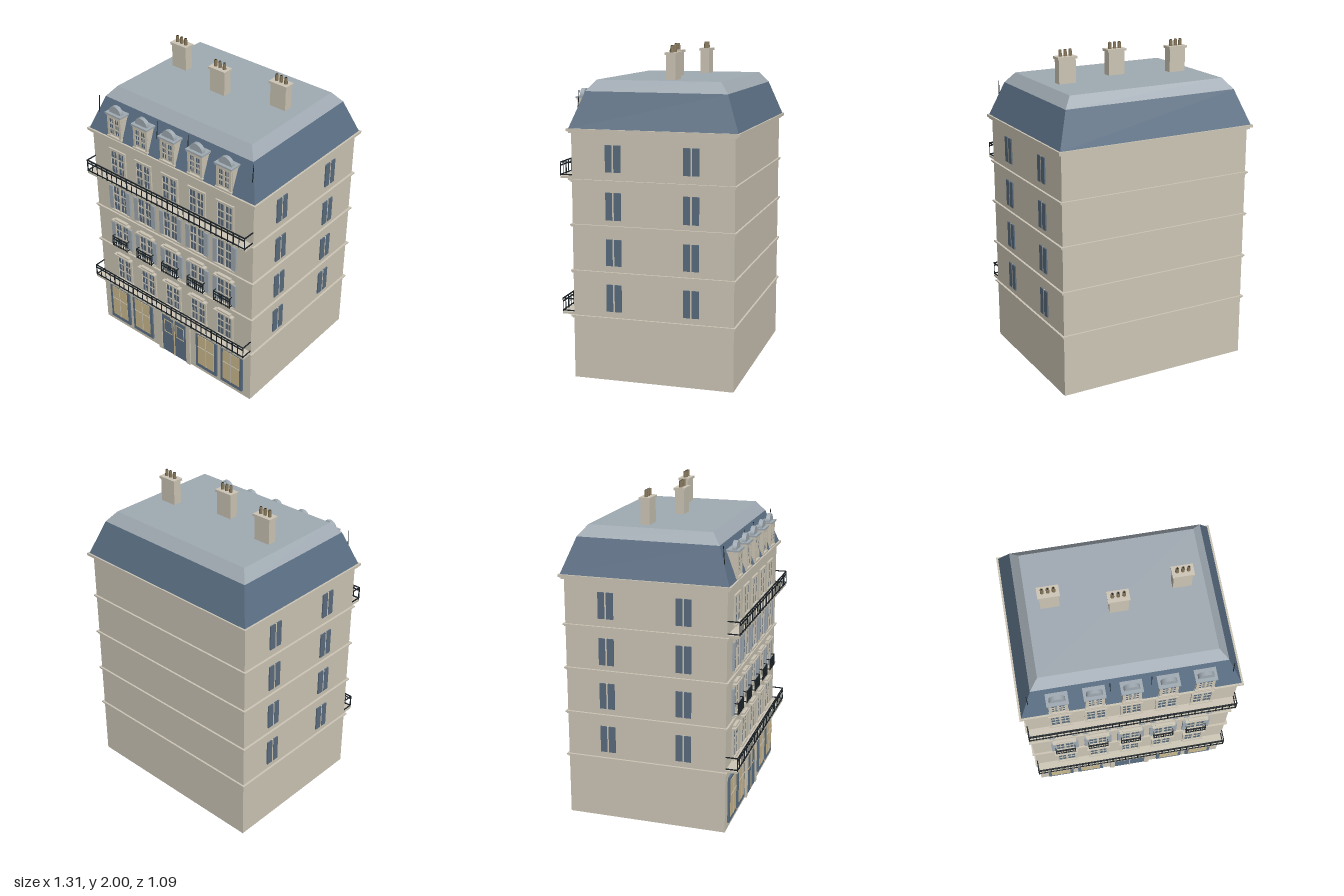
import * as THREE from 'three';

const mat = (name, color) => {
  const m = new THREE.MeshStandardMaterial({ color });
  m.name = name;
  return m;
};

export function createModel() {
  const stone = mat('stone', 0xcdc6b6);
  const slate = mat('slate blue', 0x5c7085);
  const zinc = mat('zinc grey', 0xa0aab2);
  const glass = mat('window glass', 0x5a6c7e);
  const iron = mat('black iron', 0x1b2226);
  const cream = mat('shop blind cream', 0xcbb98f);
  const clay = mat('chimney clay', 0x85765a);
  const root = new THREE.Group();
  root.name = 'townhouse';

  const group = (name, parent = root) => {
    const g = new THREE.Group();
    g.name = name;
    parent.add(g);
    return g;
  };
  const add = (parent, name, geo, m) => {
    const mesh = new THREE.Mesh(geo, m);
    mesh.name = name;
    parent.add(mesh);
    return mesh;
  };
  // Box given by its limits on each axis
  const box = (parent, name, m, x0, x1, y0, y1, z0, z1) => {
    const b = add(parent, name, new THREE.BoxGeometry(x1 - x0, y1 - y0, z1 - z0), m);
    b.position.set((x0 + x1) / 2, (y0 + y1) / 2, (z0 + z1) / 2);
    return b;
  };
  const F = 0.47, B = -0.52, W = 0.63; // front, back and half width of the walls
  const columns = [-0.425, -0.2125, 0, 0.2125, 0.425];

  // Walls, string courses and cornice
  box(root, 'walls', stone, -W, W, 0, 1.5, B, F);
  for (const y of [0.375, 0.655, 0.935, 1.205]) {
    box(root, 'stringCourse', stone, -W - 0.007, W + 0.007, y, y + 0.008, B - 0.007, F + 0.007);
    box(root, 'stringCourseLip', stone, -W - 0.014, W + 0.014, y + 0.008, y + 0.017, B - 0.012, F + 0.012);
  }
  box(root, 'corniceLower', stone, -0.645, 0.645, 1.494, 1.506, -0.535, 0.483);
  box(root, 'cornice', stone, -0.656, 0.656, 1.506, 1.522, -0.549, 0.494);

  // Mansard roof from rectangular rings: [half width, height, back, front]
  const rings = [[0.645, 1.52, -0.54, 0.483], [0.567, 1.735, -0.458, 0.402], [0.514, 1.8, -0.405, 0.35]];
  const corners = ([w, y, b, f]) => [[-w, y, f], [w, y, f], [w, y, b], [-w, y, b]];
  const quads = (list) => {
    const p = list.flatMap(([a, b, c, d]) => [a, b, c, a, c, d]).flat();
    const g = new THREE.BufferGeometry();
    g.setAttribute('position', new THREE.Float32BufferAttribute(p, 3));
    g.computeVertexNormals();
    return g;
  };
  const slope = (lo, hi) => {
    const a = corners(lo), b = corners(hi);
    return a.map((_, i) => [a[i], a[(i + 1) % 4], b[(i + 1) % 4], b[i]]);
  };
  add(root, 'slateRoof', quads(slope(rings[0], rings[1])), slate);
  add(root, 'zincRoof', quads([...slope(rings[1], rings[2]), corners(rings[2])]), zinc);

  // Casement: glass with a central post and glazing bars
  const casement = (g, x, hw, y0, y1, z) => {
    box(g, 'glass', glass, x - hw, x + hw, y0, y1, z - 0.01, z + 0.003);
    box(g, 'centrePost', stone, x - 0.007, x + 0.007, y0, y1, z, z + 0.008);
    for (const s of [-1, 1]) {
      const c = x + s * (hw + 0.007) / 2;
      box(g, 'glazingBar', stone, c - 0.002, c + 0.002, y0, y1, z, z + 0.005);
    }
    for (const t of [1 / 3, 2 / 3]) {
      const y = y0 + (y1 - y0) * t;
      box(g, 'crossBar', stone, x - hw, x + hw, y - 0.004, y + 0.004, z, z + 0.006);
    }
  };
  const surround = (g, x, hw, t, y0, y1, z0, z1) => {
    for (const s of [-1, 1]) {
      const c = x + s * (hw + t / 2);
      box(g, 'jamb', stone, c - t / 2, c + t / 2, y0, y1, z0, z1);
    }
    box(g, 'lintel', stone, x - hw - t, x + hw + t, y1, y1 + t, z0, z1);
    box(g, 'sill', stone, x - hw - t - 0.004, x + hw + t + 0.004, y0 - 0.012, y0, z0, z1 + 0.006);
  };

  // Iron railing: front panel with balusters, plain returns to the wall
  const railing = (g, x, hw, y0, y1, z, step, r) => {
    const n = Math.round(2 * hw / step);
    for (const y of [y0 + 0.008, y1 - 0.022, y1 - r]) {
      box(g, 'rail', iron, x - hw, x + hw, y - r, y + r, z - 2 * r, z);
    }
    for (const s of [-1, 1]) for (const y of [y0 + 0.008, y1 - r]) {
      box(g, 'returnRail', iron, x + s * hw - r, x + s * hw + r, y - r, y + r, F, z);
    }
    for (let i = 0; i <= n; i++) {
      const c = x - hw + 2 * hw * i / n, t = i % 4 ? r * 0.6 : r;
      box(g, 'baluster', iron, c - t, c + t, y0, y1, z - 2 * t, z);
    }
  };

  // Front windows, floor by floor
  const floors = [
    { y0: 0.425, y1: 0.597, cap: true },
    { y0: 0.698, y1: 0.875, cap: true, shutters: true, balconet: true },
    { y0: 0.98, y1: 1.16, shutters: true },
    { y0: 1.262, y1: 1.422 },
  ];
  for (const f of floors) for (const x of columns) {
    const g = group('frontWindow');
    casement(g, x, 0.053, f.y0, f.y1, F);
    surround(g, x, 0.053, 0.015, f.y0, f.y1, F - 0.01, F + 0.01);
    if (f.cap) {
      box(g, 'capMoulding', stone, x - 0.074, x + 0.074, f.y1 + 0.012, f.y1 + 0.022, F, F + 0.026);
      box(g, 'capCrown', stone, x - 0.052, x + 0.052, f.y1 + 0.022, f.y1 + 0.034, F, F + 0.02);
    }
    if (f.shutters) for (const s of [-1, 1]) {
      const c = x + s * 0.071;
      box(g, 'shutter', zinc, c - 0.016, c + 0.016, f.y0 + 0.004, f.y1 - 0.004, F, F + 0.013);
    }
    if (f.balconet) {
      box(g, 'balconetSlab', stone, x - 0.064, x + 0.064, 0.69, 0.7, F, F + 0.03);
      railing(g, x, 0.062, 0.703, 0.778, 0.508, 0.0155, 0.0025);
    }
  }

  // Side windows on both flanks
  for (const s of [-1, 1]) for (const [y0, y1] of [[0.43, 0.595], [0.71, 0.87], [0.985, 1.15], [1.27, 1.43]]) {
    for (const z of [0.212, -0.263]) {
      const g = group('sideWindow');
      for (const d of [-1, 1]) {
        const c = z + d * 0.026, a = s * (W - 0.005), b = s * (W + 0.008);
        box(g, 'leaf', glass, Math.min(a, b), Math.max(a, b), y0, y1, c - 0.021, c + 0.021);
      }
      box(g, 'post', stone, s * W - 0.007, s * W + 0.007, y0, y1, z - 0.005, z + 0.005);
    }
  }

  // Two long balconies
  for (const y of [0.393, 1.224]) {
    const g = group('longBalcony');
    box(g, 'slab', stone, -W, W, y, y + 0.013, F, 0.543);
    railing(g, 0, 0.626, y + 0.013, y + 0.098, 0.545, 0.0417, 0.003);
    for (const x of [0.143, 0.286, 0.573]) for (const s of [-1, 1]) {
      box(g, 'bracket', stone, s * x - 0.009, s * x + 0.009, y - 0.018, y, F, 0.515);
    }
  }

  // Shop windows
  for (const x of [-0.4855, -0.278, 0.278, 0.4855]) {
    const g = group('shopWindow');
    box(g, 'frame', slate, x - 0.087, x + 0.087, 0.037, 0.33, F, F + 0.012);
    box(g, 'blind', cream, x - 0.066, x + 0.066, 0.067, 0.312, F, F + 0.015);
    box(g, 'post', stone, x - 0.003, x + 0.003, 0.067, 0.312, F, F + 0.018);
    box(g, 'crossBar', stone, x - 0.066, x + 0.066, 0.212, 0.217, F, F + 0.018);
  }

  // Entrance with double door and keystone
  const door = group('entrance');
  for (const s of [-1, 1]) {
    box(door, 'pilaster', stone, s * 0.121 - 0.016, s * 0.121 + 0.016, 0, 0.33, F, F + 0.012);
    box(door, 'doorLeaf', slate, s * 0.0545 - 0.0515, s * 0.0545 + 0.0515, 0, 0.33, F, F + 0.006);
    const c = s * 0.05;
    for (const d of [-1, 1]) {
      box(door, 'panelSide', cream, c + d * 0.033 - 0.002, c + d * 0.033 + 0.002, 0.17, 0.276, F, F + 0.009);
      const y = 0.223 + d * 0.051;
      box(door, 'panelEdge', cream, c - 0.033, c + 0.033, y - 0.002, y + 0.002, F, F + 0.009);
    }
  }
  box(door, 'meetingStrip', cream, -0.004, 0.004, 0, 0.33, F, F + 0.01);
  box(door, 'doorHead', stone, -0.137, 0.137, 0.33, 0.355, F, F + 0.012);
  box(door, 'keystone', stone, -0.019, 0.019, 0.32, 0.365, F, F + 0.02);

  // Dormers with arched zinc tops
  for (const x of columns) {
    const g = group('dormer');
    box(g, 'body', stone, x - 0.056, x + 0.056, 1.52, 1.68, 0.4, 0.478);
    casement(g, x, 0.037, 1.555, 1.66, 0.48);
    surround(g, x, 0.037, 0.018, 1.54, 1.662, 0.47, 0.487);
    box(g, 'cornice', stone, x - 0.06, x + 0.06, 1.678, 1.686, 0.42, 0.49);
    box(g, 'cap', zinc, x - 0.064, x + 0.064, 1.686, 1.696, 0.415, 0.495);
    const arch = add(g, 'arch', new THREE.CylinderGeometry(0.047, 0.047, 0.026, 20, 1, false, Math.PI / 2, Math.PI), zinc);
    arch.rotation.x = Math.PI / 2;
    arch.position.set(x, 1.696, 0.462);
  }

  // Thin iron rods between the dormers
  for (const x of [-0.592, -0.119, 0.119, 0.592]) {
    const rod = add(root, 'roofRod', new THREE.CylinderGeometry(0.002, 0.003, 0.165, 6), iron);
    rod.position.set(x, 1.66, 0.437);
    rod.rotation.x = -0.08;
  }

  // Chimney stacks with three pots each
  for (const [x, z] of [[-0.38, -0.082], [0, 0.008], [0.38, -0.082]]) {
    const g = group('chimney');
    box(g, 'stack', stone, x - 0.055, x + 0.055, 1.79, 1.945, z - 0.028, z + 0.028);
    box(g, 'stackCap', stone, x - 0.063, x + 0.063, 1.945, 1.96, z - 0.035, z + 0.035);
    for (const d of [-0.033, 0, 0.033]) {
      add(g, 'pot', new THREE.CylinderGeometry(0.009, 0.011, 0.042, 12), clay).position.set(x + d, 1.979, z);
      add(g, 'flue', new THREE.CylinderGeometry(0.0055, 0.0055, 0.002, 12), iron).position.set(x + d, 2.0, z);
    }
  }
  return root;
}
